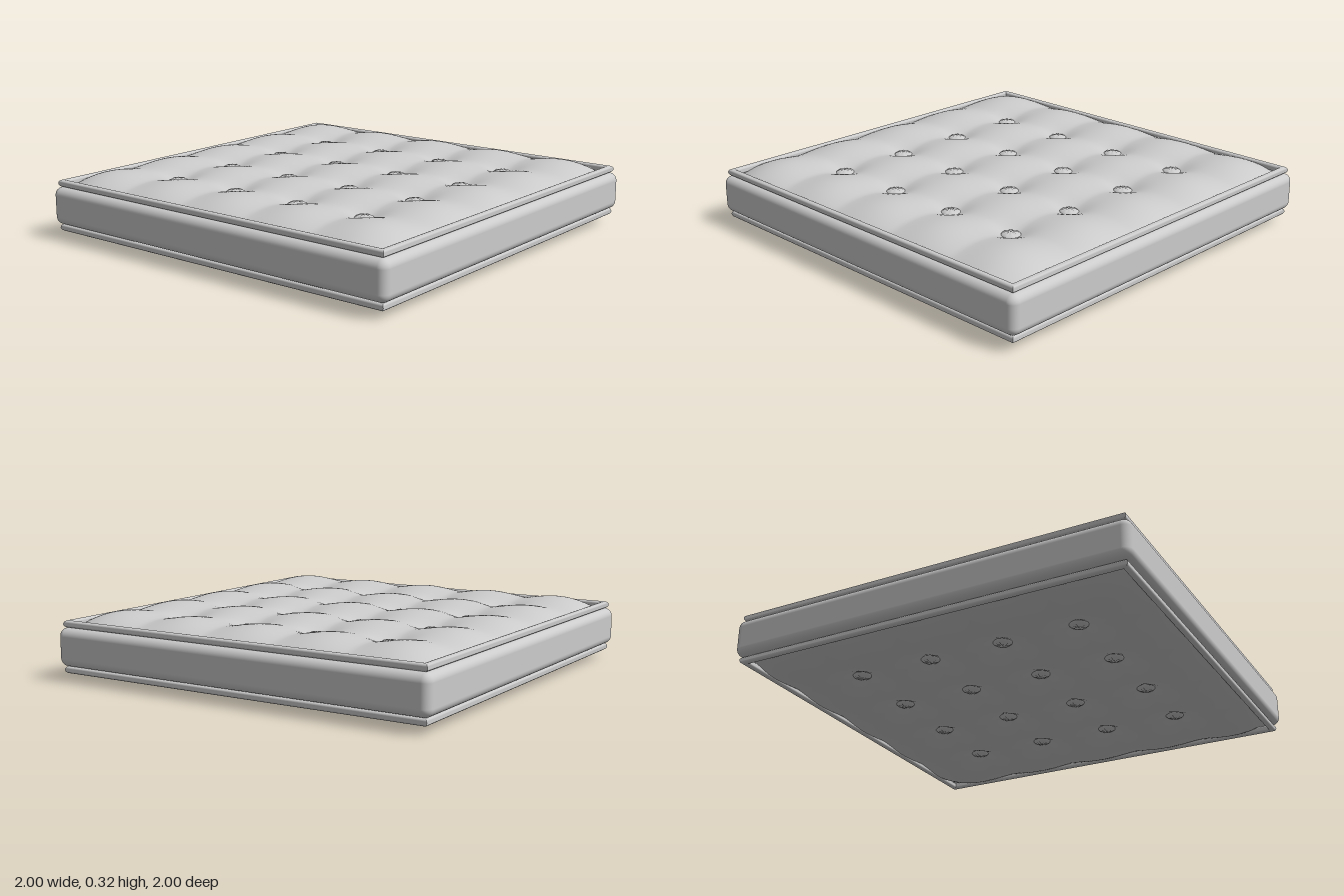
import * as THREE from 'three';
import { toCreasedNormals } from 'three/addons/utils/BufferGeometryUtils.js';
import { RoundedBoxGeometry } from 'three/addons/geometries/RoundedBoxGeometry.js';

const MID = 0.1625; // height of the cushion's middle plane
const PITCH = 0.38; // spacing of the tufts
const TUFTS = [-1.5, -0.5, 0.5, 1.5].map((n) => n * PITCH);
const material = new THREE.MeshStandardMaterial({ color: 0xcccccc, side: THREE.DoubleSide });

function mesh(name, geometry) {
  const m = new THREE.Mesh(geometry, material);
  m.name = name;
  return m;
}

// How far the rounded border has dropped (0 inside, 1 near the piping)
const edge = (t) => Math.max(0, (Math.abs(t) - 2 * PITCH) / 0.17) ** 2;

// Depth of the seam valleys between the padded squares
const valley = (t) =>
  Math.abs(t) > 2 * PITCH ? 0 : 1 - Math.abs(Math.cos((Math.PI * t) / PITCH)) ** 1.3;

// Padding height above the middle plane
function padHeight(x, z) {
  const ex = edge(x), ez = edge(z);
  let y = MID - 0.037 * (ex + ez);
  y -= 0.023 * (valley(x) * (1 - 0.4 * Math.min(1, ez)) + valley(z) * (1 - 0.4 * Math.min(1, ex)));
  for (const tx of TUFTS) {
    for (const tz of TUFTS) {
      const d2 = (x - tx) ** 2 + (z - tz) ** 2;
      y -= 0.02 * Math.exp(-d2 / 0.006);
    }
  }
  return y;
}

function paddingGeometry() {
  const g = new THREE.PlaneGeometry(1.9, 1.9, 100, 100).rotateX(-Math.PI / 2);
  const p = g.attributes.position;
  for (let i = 0; i < p.count; i++) p.setY(i, padHeight(p.getX(i), p.getZ(i)));
  g.computeVertexNormals();
  return g;
}

// Square mitred cord: a four-sided torus squeezed to a round section
function pipingGeometry() {
  const s = Math.SQRT2, r = 0.0175;
  const g = new THREE.TorusGeometry(0.96 * s, r * s, 16, 4);
  g.rotateZ(Math.PI / 4).rotateX(-Math.PI / 2).scale(1, 1 / s, 1);
  return toCreasedNormals(g, 0.8);
}

// Flattened fabric button with gathered pleats
function buttonGeometry() {
  const g = new THREE.SphereGeometry(0.047, 24, 12);
  const p = g.attributes.position;
  for (let i = 0; i < p.count; i++) {
    const x = p.getX(i), z = p.getZ(i);
    const rim = Math.hypot(x, z) / 0.047;
    const pleat = 1 + 0.12 * Math.cos(8 * Math.atan2(z, x)) * rim * (1 - rim) * 4;
    p.setY(i, p.getY(i) * 0.4 * pleat);
  }
  g.computeVertexNormals();
  return g;
}

export function createModel() {
  const model = new THREE.Group();
  model.name = 'tuftedCushion';

  // Side band
  const band = mesh('sideBand', new RoundedBoxGeometry(2, 0.185, 2, 6, 0.04));
  band.position.y = MID;
  model.add(band);

  // Identical padded faces above and below
  const padding = paddingGeometry(), piping = pipingGeometry(), button = buttonGeometry();
  for (const side of ['top', 'bottom']) {
    const face = new THREE.Group();
    face.name = side + 'Face';
    face.add(mesh(side + 'Padding', padding));
    const cord = mesh(side + 'Piping', piping);
    cord.position.y = 0.11;
    face.add(cord);
    for (const x of TUFTS) {
      for (const z of TUFTS) {
        const b = mesh(side + 'Button', button);
        b.position.set(x, 0.104, z);
        face.add(b);
      }
    }
    face.position.y = MID;
    if (side === 'bottom') face.rotation.x = Math.PI;
    model.add(face);
  }
  return model;
}
